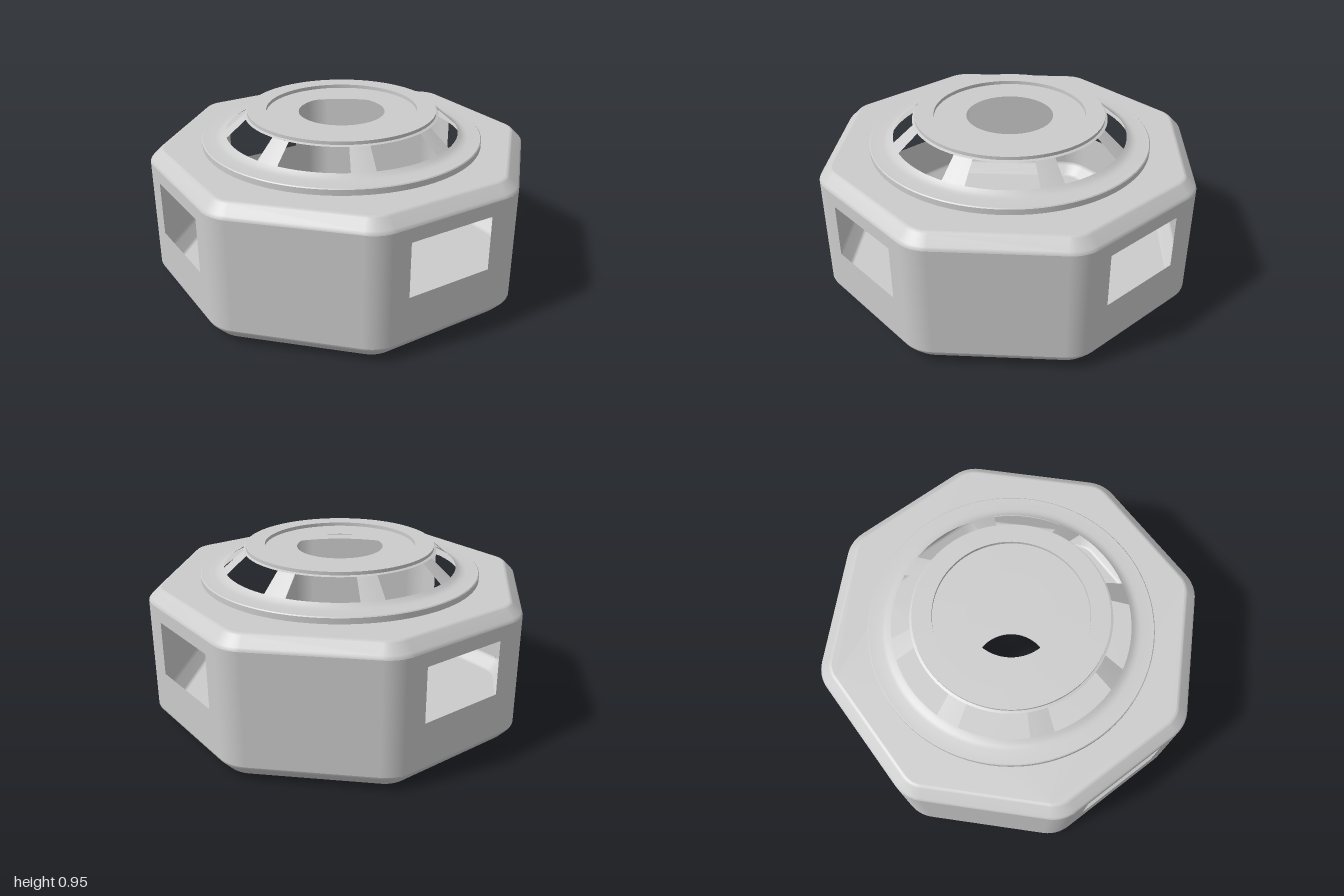
import * as THREE from 'three';
import { toCreasedNormals } from 'three/addons/utils/BufferGeometryUtils.js';

const D = Math.PI / 180;
const CORNER = 0.2;                                   // corner rounding radius
const CENTRE = (1 - CORNER) / Math.cos(22.5 * D);     // distance of the rounding centres
const FLAT = (1 - CORNER) * Math.tan(22.5 * D);       // half width of a flat side
const LOW = 0.085, HIGH = 0.705;                      // upright part of the walls

const material = new THREE.MeshStandardMaterial({ color: 0xcccccc, side: THREE.DoubleSide });

function add(parent, name, geometry) {
  const mesh = new THREE.Mesh(geometry, material);
  mesh.name = name;
  parent.add(mesh);
  return mesh;
}

// Rounded octagon, moved inwards by inset, as [x, z] points
function octagon(inset, steps = 6) {
  const points = [];
  for (let k = 0; k < 8; k++) {
    const c = (22.5 + 45 * k) * D;
    for (let s = 0; s <= steps; s++) {
      const a = (45 * k + (45 * s) / steps) * D, r = CORNER - inset;
      points.push([CENTRE * Math.sin(c) + r * Math.sin(a), CENTRE * Math.cos(c) + r * Math.cos(a)]);
    }
  }
  return points;
}

// Skin through octagons given as [inset, y], from bottom to top
function band(profile) {
  const position = [], index = [];
  const n = octagon(0).length;
  profile.forEach(([inset, y], j) => {
    octagon(inset).forEach(([x, z]) => position.push(x, y, z));
    if (j === 0) return;
    for (let i = 0; i < n; i++) {
      const a = (j - 1) * n + i, b = (j - 1) * n + ((i + 1) % n);
      index.push(a, b, a + n, b, b + n, a + n);
    }
  });
  const g = new THREE.BufferGeometry();
  g.setAttribute('position', new THREE.Float32BufferAttribute(position, 3));
  g.setIndex(index);
  g.computeVertexNormals();
  return g;
}

// Flat octagonal plate with a round hole
function plate(inset, holeRadius) {
  const shape = new THREE.Shape(octagon(inset).map(([x, z]) => new THREE.Vector2(x, z)));
  const hole = new THREE.Path();
  hole.absarc(0, 0, holeRadius, 0, Math.PI * 2, true);
  shape.holes.push(hole);
  return new THREE.ShapeGeometry(shape, 48);
}

function rectangle(Type, w, y0, y1) {
  return new Type([[-w, y0], [w, y0], [w, y1], [-w, y1]].map(([x, y]) => new THREE.Vector2(x, y)));
}

function lathe(profile, segments = 96, start = 0, length = Math.PI * 2) {
  const points = profile.map(([r, y]) => new THREE.Vector2(r, y));
  return toCreasedNormals(new THREE.LatheGeometry(points, segments, start, length), 0.55);
}

export function createModel() {
  const model = new THREE.Group();
  model.name = 'octagonalHousing';

  // Eight walls with rounded corners; the diagonal ones have a window
  const walls = new THREE.Group();
  walls.name = 'walls';
  model.add(walls);
  for (let k = 0; k < 8; k++) {
    const shape = rectangle(THREE.Shape, FLAT, LOW, HIGH);
    if (k % 2) shape.holes.push(rectangle(THREE.Path, 0.2475, 0.33, 0.63));
    const panel = new THREE.ShapeGeometry(shape).translate(0, 0, 1).rotateY(45 * k * D);
    add(walls, k % 2 ? 'windowWall' : 'plainWall', panel);

    const corner = new THREE.CylinderGeometry(CORNER, CORNER, HIGH - LOW, 8, 1, true, -22.5 * D, 45 * D);
    corner.translate(0, (HIGH + LOW) / 2, CENTRE).rotateY((22.5 + 45 * k) * D);
    add(walls, 'roundedCorner', corner);
  }

  // Softened bevels along the top and bottom edges
  add(model, 'topBevel', band([[0, HIGH], [0.003, 0.714], [0.01, 0.723], [0.054, 0.767], [0.062, 0.773], [0.072, 0.775]]));
  add(model, 'bottomBevel', band([[0.072, 0.008], [0.062, 0.01], [0.054, 0.017], [0.01, 0.066], [0.003, 0.075], [0, LOW]]));

  // Deck and floor
  add(model, 'deck', plate(0.072, 0.68).rotateX(-Math.PI / 2).translate(0, 0.775, 0));
  add(model, 'floor', plate(0.072, 0.24).rotateX(Math.PI / 2).translate(0, 0.008, 0));
  add(model, 'floorRim', lathe([[0.24, 0.008], [0.24, 0], [0.46, 0], [0.75, 0.007]]));

  // Raised collar that sweeps up into the slope of the dome
  add(model, 'domeCollar', lathe([
    [0.78, 0.775], [0.78, 0.806], [0.775, 0.811], [0.705, 0.811], [0.685, 0.814], [0.667, 0.822], [0.65, 0.835],
  ]));

  // Sloping bars between the eight dome openings
  const bars = new THREE.Group();
  bars.name = 'domeBars';
  model.add(bars);
  for (let k = 0; k < 8; k++) {
    const start = (22.5 + 45 * k - 5.7) * D;
    add(bars, 'domeBar', lathe([[0.65, 0.835], [0.54, 0.929]], 4, start, 11.4 * D));
  }

  // Top ring with a shallow recessed disc around the central hole
  add(model, 'topRing', lathe([[0.54, 0.929], [0.526, 0.934], [0.526, 0.952], [0.42, 0.952]]));
  add(model, 'recessedDisc', lathe([[0.42, 0.952], [0.42, 0.932], [0.24, 0.932]]));

  return model;
}
